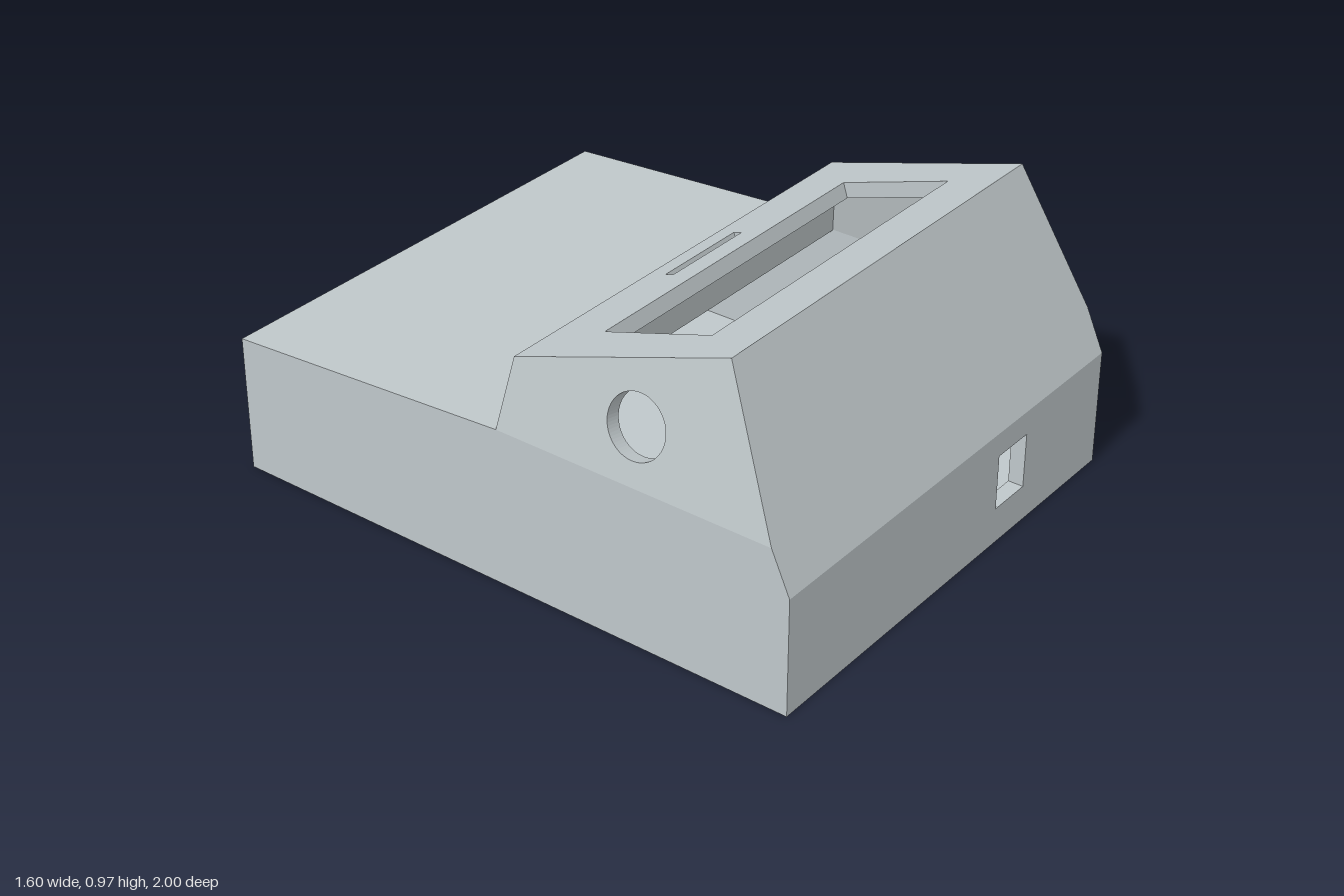
import * as THREE from 'three';

const T = 0.05; // wall thickness
const V = (x, y, z) => new THREE.Vector3(x, y, z);
const topY = (z) => 0.74 + (z - 0.035) * (0.225 / 0.7);

// Flat wall from outer corners (counter-clockwise seen from outside), thickened inward.
// A hole is either a list of points or { centre, radius }.
function panel(name, corners, material, holes = []) {
  const o = corners[0];
  const u = corners[1].clone().sub(o).normalize();
  const n = u.clone().cross(corners[2].clone().sub(o)).normalize();
  const v = n.clone().cross(u);
  const flat = (p) => {
    const d = p.clone().sub(o);
    return new THREE.Vector2(d.dot(u), d.dot(v));
  };
  const shape = new THREE.Shape(corners.map(flat));
  for (const h of holes) {
    if (h.radius) {
      const c = flat(h.centre);
      shape.holes.push(new THREE.Path().absarc(c.x, c.y, h.radius, 0, Math.PI * 2, true));
    } else {
      shape.holes.push(new THREE.Path(h.map(flat)));
    }
  }
  const geo = new THREE.ExtrudeGeometry(shape, { depth: T, bevelEnabled: false, curveSegments: 32 });
  const frame = new THREE.Matrix4().makeBasis(u, v, n).setPosition(o.clone().addScaledVector(n, -T));
  geo.applyMatrix4(frame);
  const mesh = new THREE.Mesh(geo, material);
  mesh.name = name;
  return mesh;
}

// Rectangular opening in the sloped top
const topSlot = (halfWidth, z0, z1) => [
  V(-halfWidth, topY(z0), z0), V(halfWidth, topY(z0), z0),
  V(halfWidth, topY(z1), z1), V(-halfWidth, topY(z1), z1),
];

export function createModel() {
  const group = new THREE.Group();
  group.name = 'deviceEnclosure';
  const grey = new THREE.MeshStandardMaterial({ color: 0xbfc7ca });
  grey.name = 'light grey plastic';
  const add = (name, corners, holes) => group.add(panel(name, corners, grey, holes));

  // Key widths: base, rear of the hood, front of the hood
  const W = 0.8, WR = 0.7535, WF = 0.707;
  const shoulder = 0.515, zs = 0.939;

  // Base plate with four screw holes
  const screws = [];
  for (const x of [-0.72, 0.72]) for (const z of [-0.92, 0.92]) screws.push([x, z]);
  add('basePlate', [V(-W, 0, -1), V(W, 0, -1), V(W, 0, 1), V(-W, 0, 1)],
    screws.map(([x, z]) => ({ centre: V(x, 0, z), radius: 0.03 })));

  // Bosses above the screw holes
  const bossGeo = new THREE.CylinderGeometry(0.045, 0.045, 0.1, 24);
  for (const [x, z] of screws) {
    const boss = new THREE.Mesh(bossGeo, grey);
    boss.name = 'screwBoss';
    boss.position.set(x, T + 0.05, z);
    group.add(boss);
  }

  // Front wall with the connector port
  add('frontWall', [V(-W, 0, 1), V(W, 0, 1), V(W, 0.38, 1), V(-W, 0.38, 1)],
    [[V(0.23, 0.12, 1), V(0.38, 0.12, 1), V(0.38, 0.3, 1), V(0.23, 0.3, 1)]]);

  // Leaning front of the hood
  add('hoodFront', [V(-W, 0.38, 1), V(W, 0.38, 1), V(W, shoulder, zs),
    V(WF, 0.965, 0.735), V(-WF, 0.965, 0.735), V(-W, shoulder, zs)]);

  // Sloped top with the display window and a narrow slot
  add('hoodTop', [V(-WF, 0.965, 0.735), V(WF, 0.965, 0.735), V(WR, 0.74, 0.035), V(-WR, 0.74, 0.035)],
    [topSlot(0.57, 0.205, 0.57), topSlot(0.163, 0.097, 0.125)]);

  // Step, rear deck and back wall
  add('hoodBack', [V(W, shoulder, 0), V(-W, shoulder, 0), V(-WR, 0.74, 0.035), V(WR, 0.74, 0.035)]);
  add('rearDeck', [V(-W, shoulder, 0), V(W, shoulder, 0), V(W, 0.45, -1), V(-W, 0.45, -1)]);
  add('backWall', [V(W, 0, -1), V(-W, 0, -1), V(-W, 0.45, -1), V(W, 0.45, -1)]);

  // Side walls and tapered hood cheeks; one cheek has a round hole
  for (const s of [1, -1]) {
    const side = s > 0 ? 'left' : 'right';
    const wind = (pts) => (s > 0 ? pts : pts.reverse());
    add(side + 'Wall', wind([V(s * W, 0, 1), V(s * W, 0, -1), V(s * W, 0.45, -1),
      V(s * W, shoulder, 0), V(s * W, shoulder, zs), V(s * W, 0.38, 1)]));
    add(side + 'Cheek', wind([V(s * W, shoulder, zs), V(s * W, shoulder, 0),
      V(s * WR, 0.74, 0.035), V(s * WF, 0.965, 0.735)]),
      s < 0 ? [{ centre: V(-0.765, 0.685, 0.468), radius: 0.098 }] : []);
  }
  return group;
}
